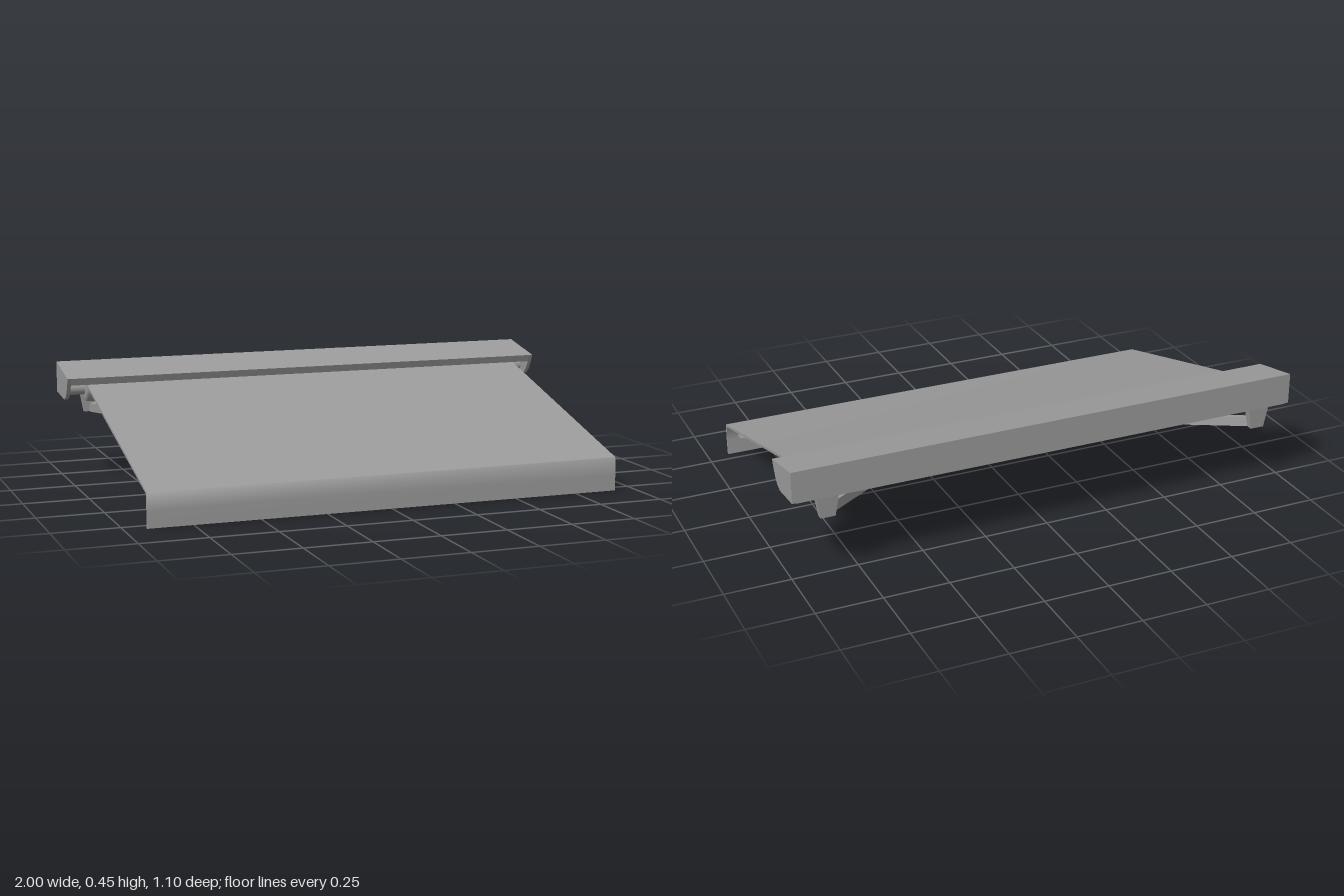
import * as THREE from 'three';
import { toCreasedNormals } from 'three/addons/utils/BufferGeometryUtils.js';

const mat = new THREE.MeshStandardMaterial({ color: 0x9c9c9c, side: THREE.DoubleSide });

function part(name, geometry) {
  const mesh = new THREE.Mesh(geometry, mat);
  mesh.name = name;
  return mesh;
}

// Closed [z, y] profile swept along x from x0 to x1
function sweep(profile, x0, x1, crease = 0.5) {
  const shape = new THREE.Shape(profile.map(([z, y]) => new THREE.Vector2(-z, y)));
  const g = new THREE.ExtrudeGeometry(shape, { depth: x1 - x0, bevelEnabled: false });
  g.rotateY(Math.PI / 2).translate(x0, 0, 0);
  return toCreasedNormals(g, crease);
}

// Rectangular bar from a to b, its height square to the sloping arm plane
const slope = Math.atan2(0.164, 1.045);
const planeUp = new THREE.Vector3(0, Math.cos(slope), Math.sin(slope));
function bar(name, a, b, width, height) {
  const dir = b.clone().sub(a);
  const length = dir.length();
  dir.normalize();
  const side = planeUp.clone().cross(dir);
  const g = new THREE.BoxGeometry(width, height, length);
  g.applyMatrix4(new THREE.Matrix4().makeBasis(side, planeUp, dir));
  const mid = a.clone().add(b).multiplyScalar(0.5);
  return part(name, g.translate(mid.x, mid.y, mid.z));
}

// Turned part lying along x on the roller axis, with softened ends
function roller(name, radius, length, soft) {
  const h = length / 2;
  const profile = [
    [0, -h], [radius - soft, -h], [radius, soft - h],
    [radius, h - soft], [radius - soft, h], [0, h],
  ].map(([r, y]) => new THREE.Vector2(r, y));
  const g = new THREE.LatheGeometry(profile, 32);
  return part(name, g.rotateZ(Math.PI / 2).translate(0, 0.35, -0.445));
}

export function createModel() {
  const model = new THREE.Group();
  model.name = 'awning';

  // Housing: open hood with back wall, sloping top and front lip
  model.add(part('housingHood', sweep([
    [-0.55, 0.324], [-0.55, 0.446], [-0.341, 0.404], [-0.352, 0.376],
    [-0.362, 0.38], [-0.355, 0.397], [-0.538, 0.434], [-0.538, 0.324],
  ], -0.985, 0.985)));

  // End caps closing the housing
  const cap = [
    [-0.55, 0.446], [-0.341, 0.404], [-0.359, 0.362], [-0.372, 0.342],
    [-0.387, 0.326], [-0.414, 0.313], [-0.55, 0.326],
  ];
  model.add(part('leftEndCap', sweep(cap, 0.985, 1)));
  model.add(part('rightEndCap', sweep(cap, -1, -0.985)));

  // Shaft with the rolled fabric on it
  model.add(roller('rollerShaft', 0.025, 1.97, 0.002));
  model.add(roller('fabricRoll', 0.053, 1.83, 0.01));

  // Canopy with hanging valance, softly shaded only around the front fold
  model.add(part('canopy', sweep([
    [-0.432, 0.393], [0.535, 0.133], [0.545, 0.1305], [0.551, 0.128], [0.552, 0.062], [0.551, 0],
    [0.54, 0], [0.541, 0.062], [0.541, 0.115], [0.537, 0.122], [0.525, 0.1255], [-0.4346, 0.383],
  ], -0.918, 0.918, 1.2)));

  // Folding arms and wall brackets, mirrored
  for (const s of [1, -1]) {
    const arm = new THREE.Group();
    arm.name = s > 0 ? 'leftArm' : 'rightArm';
    const shoulder = new THREE.Vector3(s * 0.87, 0.261, -0.522);
    const elbow = new THREE.Vector3(s * 0.222, 0.177, 0.013);
    const tip = new THREE.Vector3(s * 0.872, 0.096, 0.521);
    arm.add(bar('upperArm', shoulder, elbow, 0.024, 0.036));
    arm.add(bar('foreArm', elbow, tip, 0.024, 0.036));

    // Elbow block filling the fold
    const hinge = new THREE.BoxGeometry(0.044, 0.036, 0.02);
    hinge.rotateX(slope).translate(elbow.x, elbow.y, elbow.z);
    arm.add(part('elbowHinge', hinge));

    // Bracket tapers towards its foot
    const bracket = new THREE.BoxGeometry(0.085, 0.09, 0.036);
    const p = bracket.attributes.position;
    for (let i = 0; i < p.count; i++) {
      if (p.getY(i) < 0) p.setXYZ(i, p.getX(i) * 0.65, p.getY(i), p.getZ(i) * 0.7);
    }
    bracket.computeVertexNormals();
    bracket.translate(s * 0.87, 0.288, -0.532);
    arm.add(part('bracket', bracket));
    model.add(arm);
  }

  // Front rail joining the arm tips
  model.add(bar('frontRail', new THREE.Vector3(-0.875, 0.096, 0.521),
    new THREE.Vector3(0.875, 0.096, 0.521), 0.016, 0.034));

  return model;
}
